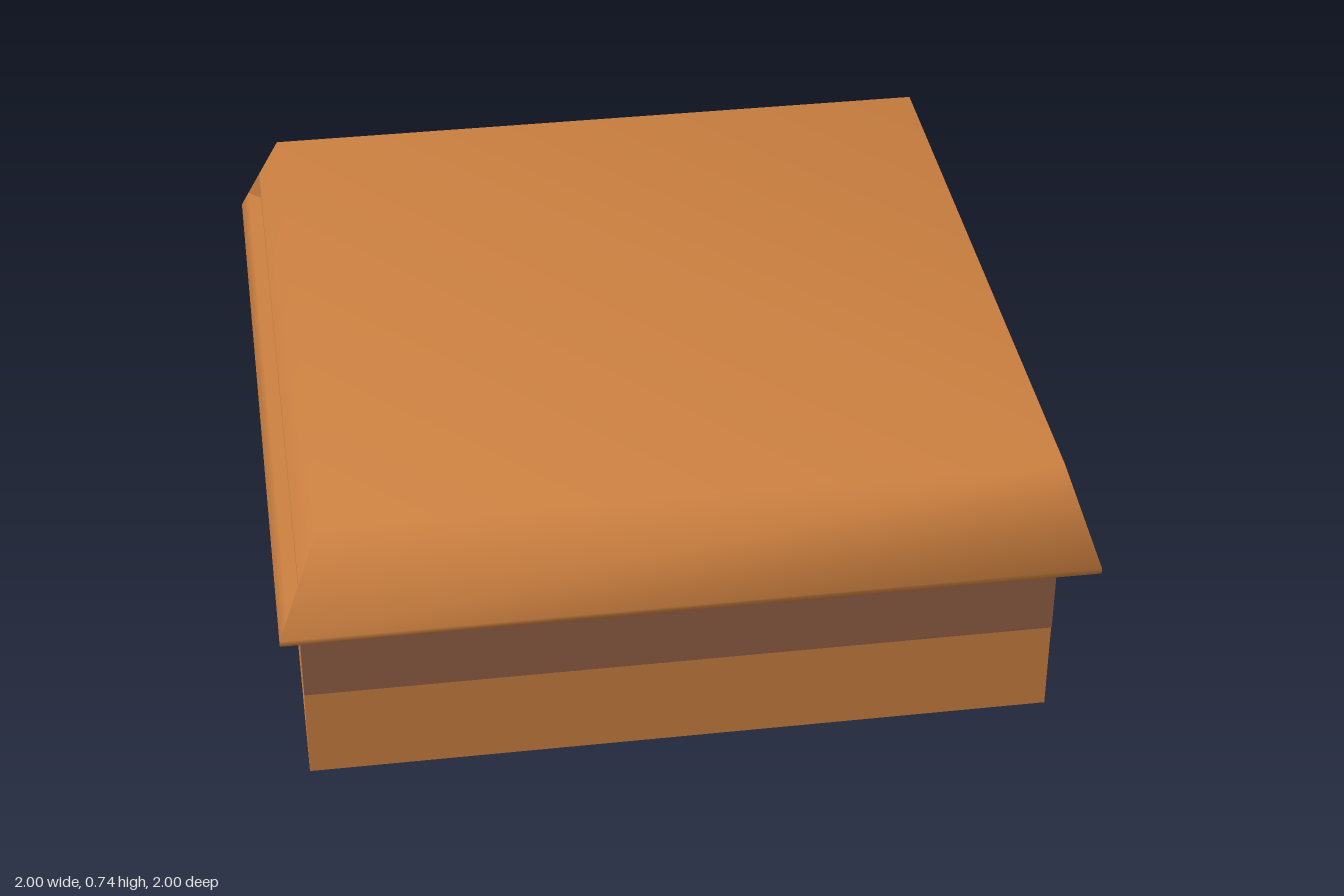
import * as THREE from 'three';

const wood = new THREE.MeshStandardMaterial({ color: 0xcc8040 });
const bandMat = new THREE.MeshStandardMaterial({ color: 0x925f45 });
const notchMat = new THREE.MeshStandardMaterial({ color: 0xcc8040, side: THREE.DoubleSide, flatShading: true });

// Lid heights: underside, top of the thin rim, notch bottom and top, lid top
const Y = { under: 0.465, rim: 0.48, low: 0.53, high: 0.61, top: 0.74 };

// Four lid corners at the slope position for height s, placed at height y
function corners(s, y = s) {
  const t = Math.max(0, (s - Y.rim) / (Y.top - Y.rim));
  const n = -1 + 0.11 * t, p = 1 - 0.09 * t;
  return [[n, y, n], [n, y, p], [p, y, p], [p, y, n]];
}

function surface(points, index) {
  const g = new THREE.BufferGeometry();
  g.setAttribute('position', new THREE.Float32BufferAttribute(points.flat(), 3));
  g.setIndex(index);
  g.computeVertexNormals();
  return g;
}

const quad = (a, b, c, d) => [a, b, c, a, c, d];

// Softly shaded sloping lid, with a gap in the slope on the -x side
function lidGeometry() {
  const rings = [Y.under, Y.rim, Y.low, Y.high, Y.top].map(y => corners(y));
  const index = [];
  const strip = (lower, upper, i) => {
    const j = (i + 1) % 4;
    index.push(...quad(lower * 4 + i, lower * 4 + j, upper * 4 + j, upper * 4 + i));
  };
  for (let i = 0; i < 4; i++) {
    strip(0, 1, i);
    if (i > 0) strip(1, 4, i);
  }
  strip(1, 2, 0);
  strip(3, 4, 0);
  index.push(...quad(16, 17, 18, 19), ...quad(3, 2, 1, 0));
  return surface(rings.flat(), index);
}

// Stepped notch: a ledge, an upright wall and two mitred ends
function notchGeometry() {
  const rows = [corners(Y.low), corners(Y.high, Y.low), corners(Y.high)];
  const points = rows.flatMap(r => r.slice(0, 2));
  return surface(points, [...quad(0, 1, 3, 2), ...quad(2, 3, 5, 4), 0, 2, 4, 1, 5, 3]);
}

// Box given by its limits on each axis
function block(name, mat, [x0, x1], [y0, y1], [z0, z1]) {
  const m = new THREE.Mesh(new THREE.BoxGeometry(x1 - x0, y1 - y0, z1 - z0), mat);
  m.position.set((x0 + x1) / 2, (y0 + y1) / 2, (z0 + z1) / 2);
  m.name = name;
  return m;
}

export function createModel() {
  const group = new THREE.Group();
  group.name = 'liddedBox';

  group.add(block('base', wood, [-0.95, 0.91], [0, 0.247], [-0.945, 0.92]));
  group.add(block('band', bandMat, [-0.95, 0.91], [0.247, 0.466], [-0.935, 0.925]));

  const lid = new THREE.Mesh(lidGeometry(), wood);
  lid.name = 'lid';
  const notch = new THREE.Mesh(notchGeometry(), notchMat);
  notch.name = 'lidNotch';
  group.add(lid, notch);
  return group;
}
